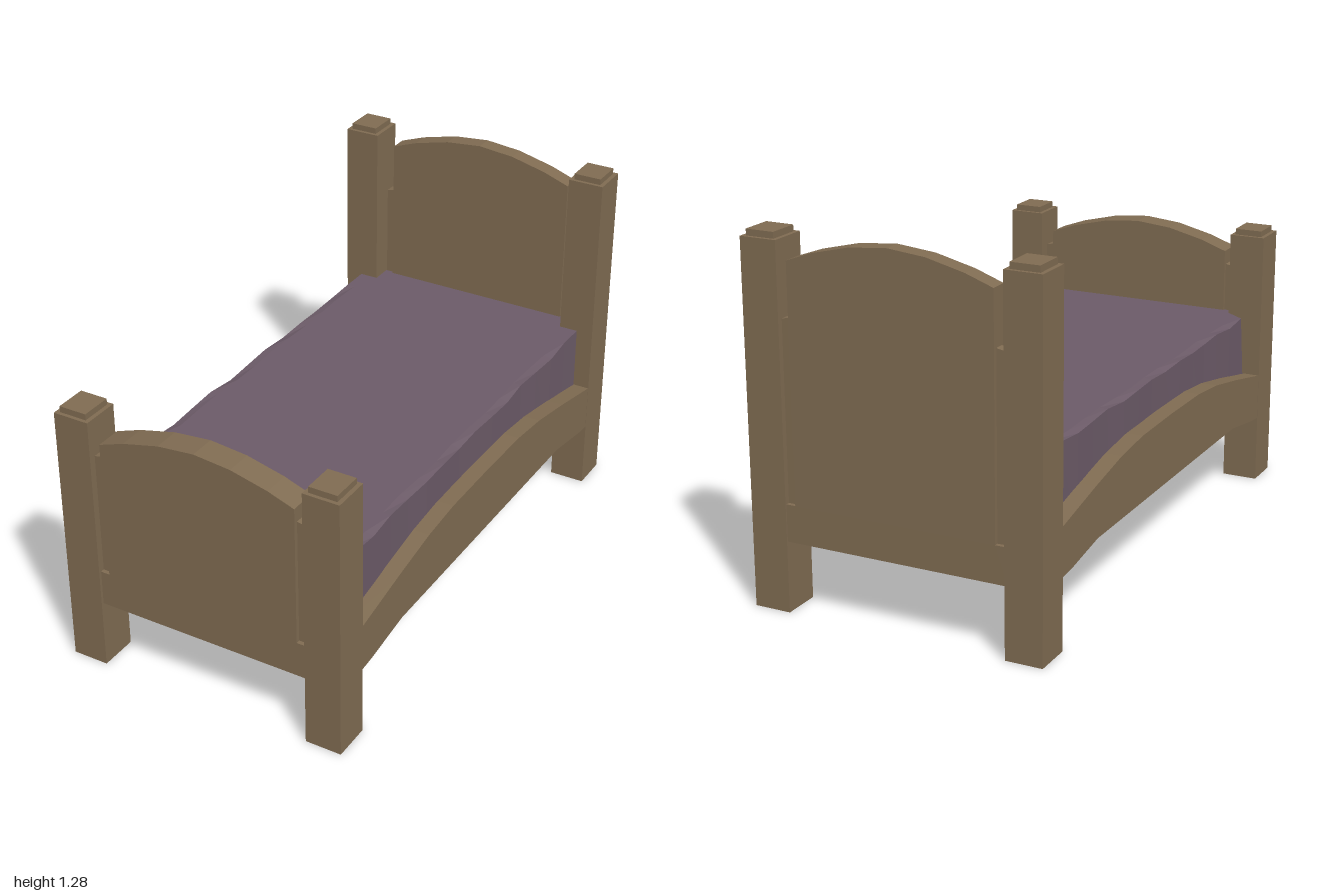
import * as THREE from 'three';

const wood = new THREE.MeshStandardMaterial({ color: 0x806c52, flatShading: true });
const cloth = new THREE.MeshStandardMaterial({ color: 0x6c5b68, flatShading: true });

function add(parent, name, geometry, material = wood) {
  const mesh = new THREE.Mesh(geometry, material);
  mesh.name = name;
  parent.add(mesh);
  return mesh;
}

// Box given by its lower and upper limits on each axis
function box(x0, x1, y0, y1, z0, z1) {
  return new THREE.BoxGeometry(x1 - x0, y1 - y0, z1 - z0)
    .translate((x0 + x1) / 2, (y0 + y1) / 2, (z0 + z1) / 2);
}

function extrude(points, depth) {
  const shape = new THREE.Shape(points.map(([x, y]) => new THREE.Vector2(x, y)));
  return new THREE.ExtrudeGeometry(shape, { depth, bevelEnabled: false });
}

// Mirrors a half profile running from the centre outwards
const mirrored = (half) => [
  ...half.slice().reverse(),
  ...half.filter(([x]) => x > 0).map(([x, y]) => [-x, y]),
];

// Square post with a small stepped cap
function addPost(parent, side, end, height) {
  const post = new THREE.Group();
  post.name = 'post';
  add(post, 'postShaft', box(-0.066, 0.066, 0, height, -0.07, 0.07));
  add(post, 'postCap', box(-0.051, 0.051, height, height + 0.022, -0.057, 0.057));
  post.position.set(side * 0.465, 0, end * 0.93);
  parent.add(post);
}

// Arched end board with recessed strips beside the posts
function addEndBoard(parent, name, crown, stripTop, z0, z1) {
  const board = new THREE.Group();
  board.name = name;
  const arch = mirrored([[0, crown], [0.135, crown - 0.013], [0.27, crown - 0.046], [0.365, crown - 0.08]]);
  const outline = [...arch, [-0.365, 0.38], [-0.41, 0.38], [-0.41, 0.25],
    [0.41, 0.25], [0.41, 0.38], [0.365, 0.38]];
  add(board, 'archedPanel', extrude(outline, z1 - z0).translate(0, 0, z0));
  for (const s of [-1, 1]) {
    const pts = [[s * 0.36, 0.37], [s * 0.41, 0.37], [s * 0.41, stripTop - 0.01], [s * 0.36, stripTop]];
    add(board, 'recessedStrip', extrude(pts, z1 - z0 - 0.03).translate(0, 0, z0 + 0.015));
  }
  parent.add(board);
}

// Side rail with an arched top and a raised underside
function addRail(parent, side) {
  const top = mirrored([[0, 0.53], [0.25, 0.527], [0.42, 0.51], [0.62, 0.473], [0.87, 0.42]]);
  const under = mirrored([[0, 0.288], [0.6, 0.288], [0.8, 0.256], [0.87, 0.25]]).reverse();
  const geometry = extrude([...top, ...under], 0.06).rotateY(-Math.PI / 2);
  add(parent, 'sideRail', geometry.translate(side * 0.5 + 0.03, 0, 0));
}

// Mattress lofted along z, with slightly uneven top edges and cut foot corners
function mattressGeometry() {
  const low = 0.3, high = 0.655;
  const sections = [[0.9, 0.4, 0.4, 0], [0.862, 0.4, 0.47, 0], [0.81, 0.47, 0.47, 0]];
  for (let i = 1; i < 14; i++) {
    const dip = 0.005 + 0.005 * Math.sin(i * 2.3);
    sections.push([0.81 - i * 0.12, 0.468 + 0.004 * Math.sin(i * 1.7), 0.47, dip]);
  }
  sections.push([-0.86, 0.468, 0.47, 0], [-0.94, 0.468, 0.47, 0]);
  const positions = [], index = [], n = 6;
  for (const [z, wTop, wLow, dip] of sections) {
    positions.push(-wLow, low, z, wLow, low, z, wTop, high - dip, z,
      wTop - 0.03, high, z, -wTop + 0.03, high, z, -wTop, high - dip, z);
  }
  for (let s = 0; s < sections.length - 1; s++) {
    for (let i = 0; i < n; i++) {
      const a = s * n + i, b = s * n + (i + 1) % n;
      index.push(a, a + n, b, b, a + n, b + n);
    }
  }
  const last = (sections.length - 1) * n;
  for (let i = 1; i < n - 1; i++) index.push(0, i, i + 1, last, last + i + 1, last + i);
  const geometry = new THREE.BufferGeometry();
  geometry.setAttribute('position', new THREE.Float32BufferAttribute(positions, 3));
  geometry.setIndex(index);
  geometry.computeVertexNormals();
  return geometry;
}

export function createModel() {
  const bed = new THREE.Group();
  bed.name = 'bed';
  for (const side of [-1, 1]) {
    addPost(bed, side, 1, 0.963);
    addPost(bed, side, -1, 1.26);
    addRail(bed, side);
  }
  addEndBoard(bed, 'headboard', 1.278, 1.01, -0.995, -0.93);
  addEndBoard(bed, 'footboard', 0.968, 0.835, 0.893, 0.99);
  add(bed, 'bedBase', box(-0.472, 0.472, 0.252, 0.31, -0.94, 0.9));
  add(bed, 'mattress', mattressGeometry(), cloth);
  return bed;
}
